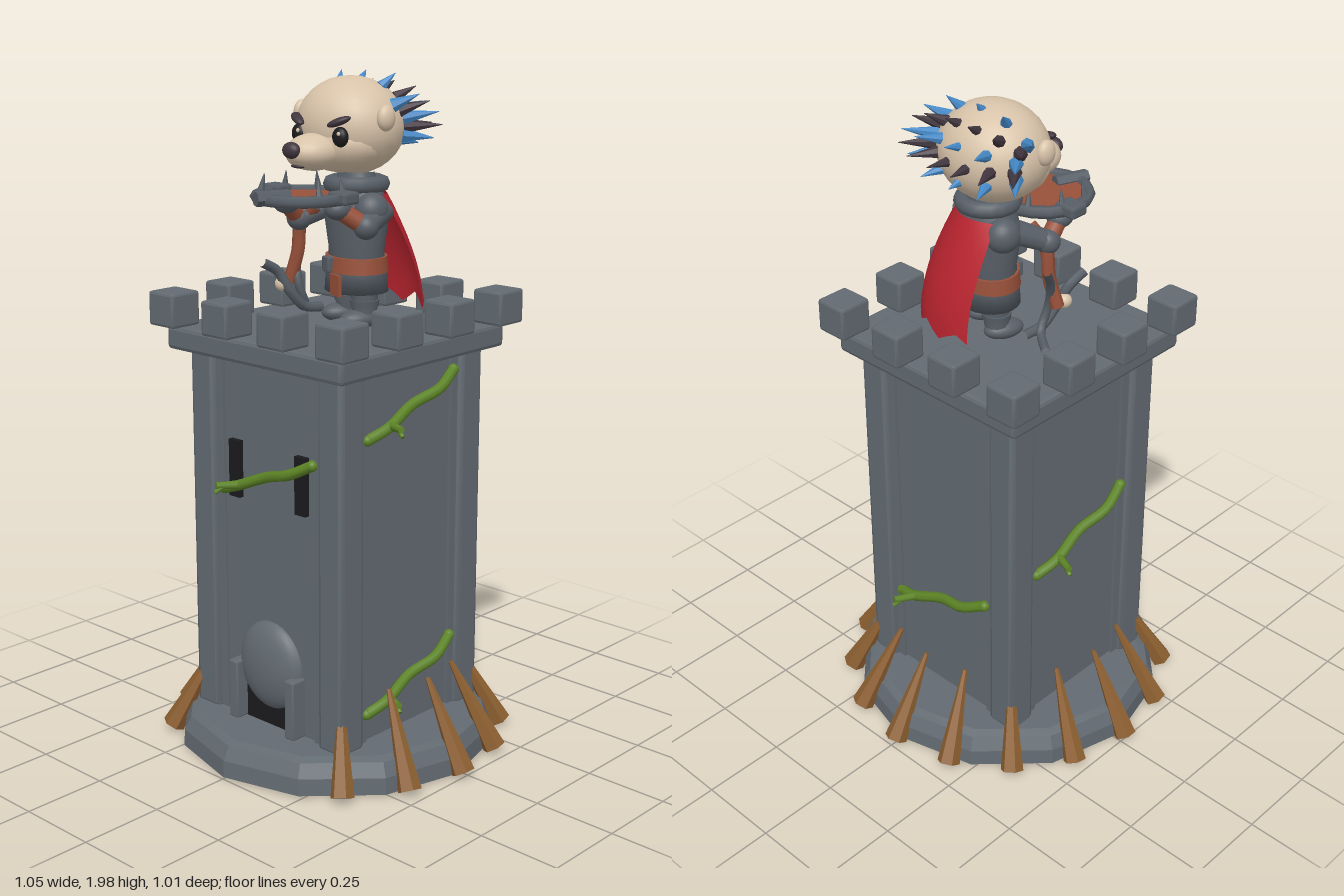
import * as THREE from 'three';
import { toCreasedNormals } from 'three/addons/utils/BufferGeometryUtils.js';
import { RoundedBoxGeometry } from 'three/addons/geometries/RoundedBoxGeometry.js';

const V = (x, y, z) => new THREE.Vector3(x, y, z);

function material(name, color) {
  const m = new THREE.MeshStandardMaterial({ color });
  m.name = name;
  return m;
}

export function createModel() {
  const stone = material('stone', 0x626a71), metal = material('metal', 0x575e66);
  const wood = material('wood', 0x8b5e30), vineGreen = material('vine green', 0x5d8526);
  const black = material('black', 0x1b1b1d), fur = material('cream fur', 0xd8c3a9);
  const blue = material('blue', 0x4488c6), plum = material('dark plum', 0x41363f);
  const red = material('red cloth', 0xb9242f), leather = material('leather', 0x98513a);
  red.side = THREE.DoubleSide;

  const model = new THREE.Group();
  model.name = 'towerWithGuard';

  const add = (parent, name, geo, mat, x = 0, y = 0, z = 0) => {
    const m = new THREE.Mesh(geo, mat);
    m.name = name;
    m.position.set(x, y, z);
    parent.add(m);
    return m;
  };
  const group = (parent, name, x = 0, y = 0, z = 0) => {
    const g = new THREE.Group();
    g.name = name;
    g.position.set(x, y, z);
    parent.add(g);
    return g;
  };
  const crisp = (geo) => toCreasedNormals(geo, 0.3);
  const block = (w, h, d, bevel = 0.008) => crisp(new RoundedBoxGeometry(w, h, d, 1, bevel));
  const ball = (parent, name, mat, p, s) => {
    const m = add(parent, name, new THREE.SphereGeometry(1, 24, 16), mat, ...p);
    m.scale.set(...s);
    return m;
  };
  // Tapered rod from p to q
  const rod = (parent, name, mat, p, q, r0, r1, sides = 8) => {
    const dir = q.clone().sub(p);
    let geo = new THREE.CylinderGeometry(r1, r0, dir.length(), sides);
    if (sides < 8) geo = crisp(geo);
    const m = add(parent, name, geo, mat);
    m.position.copy(p).addScaledVector(dir, 0.5);
    m.quaternion.setFromUnitVectors(V(0, 1, 0), dir.normalize());
    return m;
  };
  const tube = (parent, name, mat, pts, r) =>
    add(parent, name, new THREE.TubeGeometry(new THREE.CatmullRomCurve3(pts), 16, r, 7), mat);

  // ---- Tower ----
  const tower = group(model, 'tower', 0, 0, 0.02);
  const baseProfile = [[0, 0], [0.478, 0], [0.475, 0.05], [0.455, 0.09], [0.43, 0.1], [0, 0.1]];
  add(tower, 'base', crisp(new THREE.LatheGeometry(baseProfile.map((p) => new THREE.Vector2(...p)), 12)), stone);
  add(tower, 'wall', new THREE.BoxGeometry(0.55, 1.11, 0.55), stone, 0, 0.645, 0);
  for (const x of [-1, 1]) for (const z of [-1, 1]) {
    add(tower, 'cornerPost', block(0.095, 1.11, 0.095, 0.014), stone, x * 0.253, 0.645, z * 0.253);
    for (const [w, d, px, pz] of [[0.03, 0.57, 0.195, 0], [0.57, 0.03, 0, 0.195]])
      add(tower, 'wallTrim', new THREE.BoxGeometry(w, 1.11, d), stone, x * px, 0.645, z * pz);
  }
  add(tower, 'parapet', block(0.69, 0.07, 0.69, 0.012), stone, 0, 1.225, 0.003);
  for (let i = 0; i < 4; i++) for (let j = 0; j < 4; j++) {
    if (i % 3 && j % 3) continue;
    add(tower, 'merlon', block(0.104, 0.1, 0.104), stone, -0.33 + i * 0.22, 1.31, -0.33 + j * 0.22);
  }

  // Wooden stakes around the back and sides
  for (let k = -6; k <= 6; k++) {
    const a = k * Math.PI / 8, s = Math.sin(a), c = -Math.cos(a);
    rod(tower, 'stake', wood, V(0.5 * s, 0.012, 0.5 * c), V(0.36 * s, 0.265, 0.36 * c), 0.035, 0.007, 6);
  }

  // Doorway and windows
  ball(tower, 'doorDome', stone, [0, 0.285, 0.27], [0.125, 0.135, 0.055]);
  add(tower, 'doorOpening', new THREE.BoxGeometry(0.2, 0.19, 0.02), black, 0, 0.195, 0.274);
  for (const s of [-1, 1]) {
    add(tower, 'doorPost', block(0.036, 0.18, 0.07, 0.005), stone, s * 0.115, 0.19, 0.29);
    add(tower, 'windowSlit', new THREE.BoxGeometry(0.042, 0.17, 0.03), black, s * 0.132, 0.86, 0.276);
  }

  // Vines: one rule for every wall
  for (const [turn, y] of [[0, 0.86], [1, 1.07], [1, 0.255], [2, 0.44], [3, 0.69]]) {
    const vine = group(tower, 'vine', 0, y, 0);
    vine.rotation.y = turn * Math.PI / 2;
    tube(vine, 'vineStem', vineGreen, [V(-0.18, -0.07, 0.285), V(-0.11, -0.045, 0.3),
      V(0, 0, 0.29), V(0.1, 0.03, 0.305), V(0.18, 0.07, 0.29)], 0.016);
    ball(vine, 'vineEnd', vineGreen, [-0.18, -0.07, 0.285], [0.016, 0.016, 0.016]);
    ball(vine, 'vineEnd', vineGreen, [0.18, 0.07, 0.29], [0.016, 0.016, 0.016]);
    rod(vine, 'vineTwig', vineGreen, V(-0.1, -0.04, 0.3), V(-0.13, -0.035, 0.365), 0.013, 0.01);
    rod(vine, 'vineTwig', vineGreen, V(-0.12, -0.037, 0.345), V(-0.13, -0.055, 0.37), 0.01, 0.006);
  }

  // ---- Guard: body, turned a little ----
  const guard = group(model, 'guard');
  const body = group(guard, 'body', 0.04, 1.26, -0.02);
  body.rotation.y = -0.38;
  const torso = [[0.085, 0.12], [0.1, 0.16], [0.095, 0.22], [0.108, 0.3], [0.1, 0.37], [0.07, 0.41], [0.06, 0.44]];
  const lathe = (pts) => new THREE.LatheGeometry(pts.map((p) => new THREE.Vector2(...p)), 20);
  add(body, 'tunic', lathe(torso), metal).scale.z = 0.8;
  add(body, 'tunicHem', lathe([[0, 0.11], [0.105, 0.1], [0.1, 0.16]]), metal).scale.z = 0.85;
  add(body, 'belt', new THREE.CylinderGeometry(0.104, 0.108, 0.045, 20), leather, 0, 0.18, 0).scale.z = 0.82;
  add(body, 'buckle', block(0.04, 0.045, 0.02, 0.004), metal, 0, 0.18, 0.09);
  add(body, 'hemPanel', new THREE.BoxGeometry(0.06, 0.06, 0.009), leather, 0.04, 0.125, 0.084);
  const collar = add(body, 'collar', new THREE.TorusGeometry(0.072, 0.024, 8, 20), metal, 0, 0.405, 0);
  collar.rotation.x = Math.PI / 2;
  for (const s of [-1, 1]) {
    rod(body, 'leg', metal, V(s * 0.055, 0.04, 0), V(s * 0.05, 0.13, 0), 0.036, 0.042, 10);
    ball(body, 'boot', metal, [s * 0.06, 0.026, 0.02], [0.038, 0.028, 0.06]);
    add(body, 'bootCuff', new THREE.CylinderGeometry(0.042, 0.04, 0.02, 12), metal, s * 0.055, 0.07, 0);
    ball(body, 'shoulder', metal, [s * 0.1, 0.34, 0], [0.045, 0.05, 0.05]);
  }

  // Cape: a plane widened, bent and swept backwards
  const cape = new THREE.PlaneGeometry(1, 1, 10, 8);
  const cp = cape.attributes.position;
  for (let i = 0; i < cp.count; i++) {
    const u = cp.getX(i) * 2, t = 0.5 - cp.getY(i);
    const edge = t === 1 ? 0.018 * Math.cos(u * 8) : 0;
    cp.setXYZ(i, u * (0.1 + 0.055 * Math.sqrt(t)), 0.38 - 0.32 * t + edge,
      -0.085 - 0.105 * Math.sin(t * 1.5) + 0.055 * u * u);
  }
  cape.computeVertexNormals();
  add(body, 'cape', cape, red);

  // Arms reaching for the trap
  for (const s of [-1, 1]) {
    const elbow = V(0.02 + s * 0.13, 1.56, 0.06), hand = V(s * 0.1, 1.61, 0.12);
    rod(guard, 'upperArm', metal, V(0.04 + s * 0.1, 1.6, -0.02), elbow, 0.036, 0.032, 10);
    rod(guard, 'forearm', leather, elbow, hand, 0.027, 0.026, 10);
    ball(guard, 'elbow', metal, elbow.toArray(), [0.036, 0.036, 0.036]);
    ball(guard, 'gauntlet', metal, hand.toArray(), [0.036, 0.03, 0.04]);
    add(guard, 'trapSpring', block(0.07, 0.035, 0.06), metal, -0.005 + s * 0.13, 1.645, 0.125);
  }

  // ---- Toothed trap held in front ----
  const trap = group(guard, 'trap', -0.005, 1.64, 0.155);
  const ring = add(trap, 'trapRing', new THREE.TorusGeometry(0.128, 0.018, 6, 18), metal);
  ring.rotation.x = Math.PI / 2;
  add(trap, 'trapPlate', new THREE.CylinderGeometry(0.115, 0.105, 0.018, 18), leather, 0, -0.004, 0);
  rod(trap, 'trapBar', metal, V(0.01, 0.005, 0.06), V(-0.025, 0.005, 0.155), 0.022, 0.022, 6);
  for (let k = 0; k < 8; k++) {
    const a = (k + 0.5) * Math.PI / 4, x = 0.125 * Math.sin(a), z = 0.125 * Math.cos(a);
    if (z > 0.1) continue;
    rod(trap, 'trapTooth', metal, V(x, 0, z), V(x * 0.9, 0.06, z * 0.9), 0.014, 0.001, 6);
  }

  // ---- Strap and hook hanging at the right hip ----
  const hook = group(guard, 'hipHook');
  tube(hook, 'strap', leather, [V(-0.06, 1.6, 0.04), V(-0.11, 1.55, 0.05), V(-0.125, 1.46, 0.05), V(-0.15, 1.37, 0.06)], 0.02);
  tube(hook, 'hookShaft', metal, [V(-0.18, 1.52, -0.02), V(-0.15, 1.45, 0.03), V(-0.125, 1.37, 0.05),
    V(-0.125, 1.3, 0.02), V(-0.19, 1.28, -0.03)], 0.013);
  tube(hook, 'hookBlade', metal, [V(-0.15, 1.44, 0.17), V(-0.14, 1.41, 0.12), V(-0.12, 1.35, 0.09),
    V(-0.11, 1.3, 0.04), V(-0.1, 1.29, -0.02)], 0.015);
  ball(hook, 'hookKnob', fur, [-0.14, 1.37, 0.1], [0.022, 0.022, 0.022]);

  // ---- Head ----
  const head = group(guard, 'head', 0.008, 1.825, -0.03);
  ball(head, 'skull', fur, [0, 0, 0], [0.163, 0.138, 0.147]);
  ball(head, 'cheeks', fur, [0, -0.045, 0.035], [0.14, 0.085, 0.115]);
  ball(head, 'snout', fur, [-0.008, -0.065, 0.14], [0.075, 0.052, 0.09]);
  ball(head, 'nose', plum, [-0.012, -0.055, 0.226], [0.03, 0.023, 0.02]);
  ball(head, 'mouth', plum, [-0.012, -0.1, 0.2], [0.024, 0.006, 0.016]);
  for (const s of [-1, 1]) {
    ball(head, 'ear', fur, [s * 0.16, 0.03, 0.03], [0.022, 0.036, 0.03]);
    ball(head, 'eye', black, [s * 0.078, -0.02, 0.126], [0.026, 0.028, 0.018]);
    ball(head, 'eyeGlint', fur, [s * 0.078 + 0.008, -0.01, 0.142], [0.006, 0.006, 0.004]);
    ball(head, 'brow', plum, [s * 0.078, 0.022, 0.132], [0.036, 0.011, 0.018]).rotation.set(0, s * 0.5, s * 0.35);
  }

  // Quills in arcs from crown to nape, longer towards the sides
  const rows = [[18, 5, blue, 0.03], [44, 6, plum, 0.04], [68, 5, blue, 0.055], [90, 6, plum, 0.06], [112, 5, blue, 0.04]];
  for (const [tilt, n, mat, len] of rows) {
    const t = tilt * Math.PI / 180;
    for (let i = 0; i < n; i++) {
      const w = -1 + 2 * i / (n - 1), a = w * 1.08;
      const dir = V(Math.sin(a), Math.cos(a) * Math.cos(t), -Math.cos(a) * Math.sin(t));
      const p = dir.clone().multiply(V(0.158, 0.133, 0.142));
      const out = dir.add(V(0, 0.05, -0.55)).normalize();
      const l = len + 0.05 * Math.abs(w);
      rod(head, 'quill', mat, p, p.clone().addScaledVector(out, l), 0.013 + 0.008 * Math.abs(w), 0.001, 7);
    }
  }
  return model;
}
